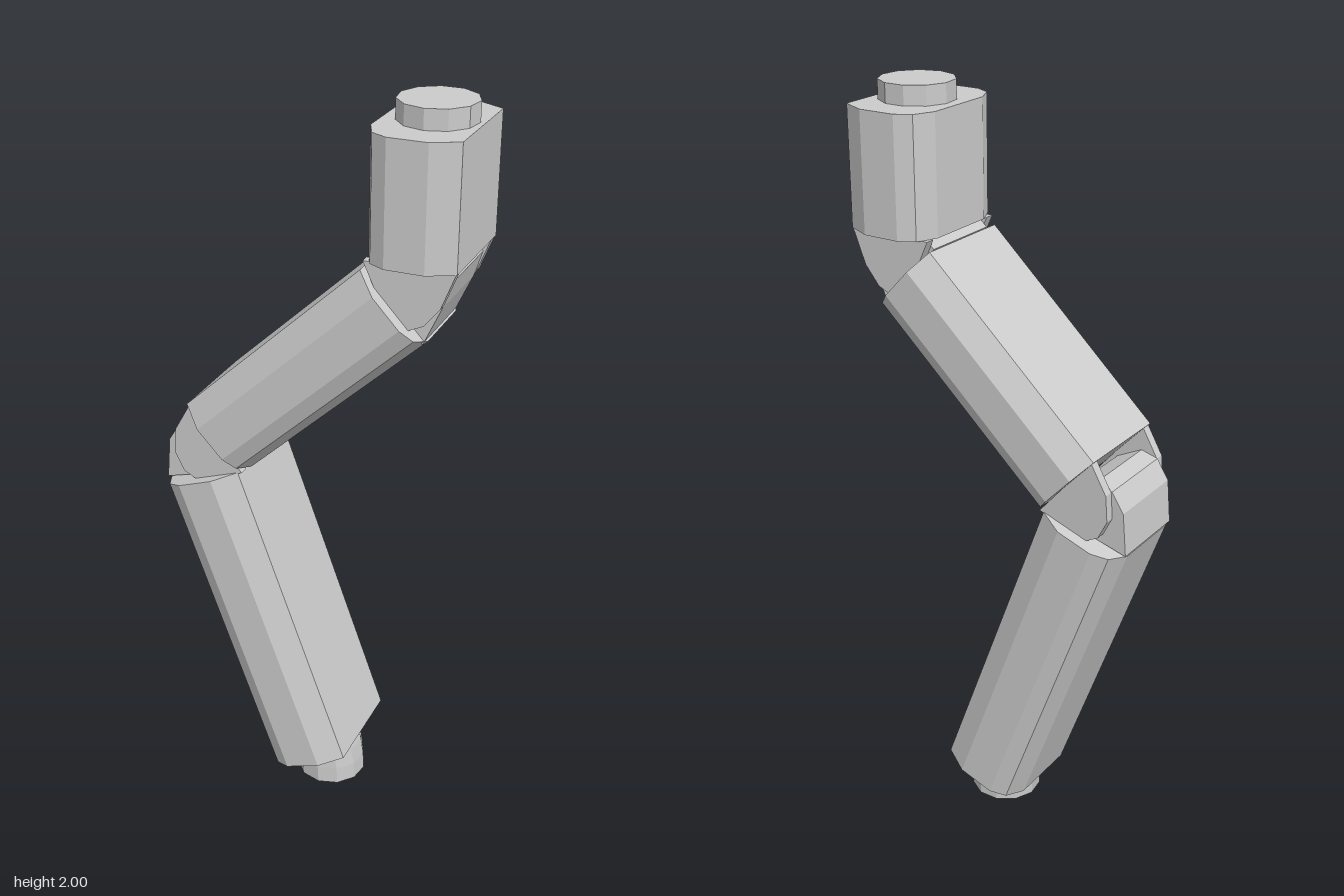
import * as THREE from 'three';

const material = new THREE.MeshStandardMaterial({ color: 0xcccccc, flatShading: true });

function shapeOf(points) {
  return new THREE.Shape(points.map(([x, y]) => new THREE.Vector2(x, y)));
}

function part(name, geometry) {
  const mesh = new THREE.Mesh(geometry, material);
  mesh.name = name;
  return mesh;
}

// Chamfered limb block along +y from its base; wideSide (+1 / -1) is the x side with the broad flat face
function limb(name, length, wideSide, x, y, tilt) {
  const half = [[-0.117, 0.1], [-0.092, 0.155], [-0.05, 0.177], [0.05, 0.177], [0.117, 0.142]];
  const outline = [...half, ...half.map(([u, z]) => [u, -z]).reverse()];
  const geometry = new THREE.ExtrudeGeometry(
    shapeOf(outline.map(([u, z]) => [u * wideSide, z])),
    { depth: length, bevelEnabled: false });
  geometry.rotateX(-Math.PI / 2);
  const mesh = part(name, geometry);
  mesh.position.set(x, y, 0);
  mesh.rotation.z = tilt;
  return mesh;
}

// Flat plate with a front outline, spanning z0 to z1
function plate(name, points, z0, z1) {
  const geometry = new THREE.ExtrudeGeometry(shapeOf(points), { depth: z1 - z0, bevelEnabled: false });
  geometry.translate(0, 0, z0);
  return part(name, geometry);
}

// Hinge: a central tongue held between two cheek plates
function hinge(name, tongue, cheek) {
  const group = new THREE.Group();
  group.name = name;
  group.add(plate(name + 'Tongue', tongue, -0.115, 0.115));
  group.add(plate(name + 'FrontCheek', cheek, 0.116, 0.142));
  group.add(plate(name + 'BackCheek', cheek, -0.142, -0.116));
  return group;
}

export function createModel() {
  const model = new THREE.Group();
  model.name = 'jointedArm';

  // Three limb blocks
  model.add(limb('lowerLimb', 0.9, 1, 0.018, 0.112, 0.346));
  model.add(limb('middleLimb', 0.652, -1, -0.238, 1.085, -0.819));
  model.add(limb('upperLimb', 0.31, 1, 0.28, 1.64, 0));

  // Elbow hinge between lower and middle limbs
  model.add(hinge('elbow',
    [[-0.4, 0.925], [-0.39, 1.04], [-0.357, 1.092], [-0.31, 1.105], [-0.24, 1.07], [-0.177, 0.99]],
    [[-0.31, 1.17], [-0.355, 1.09], [-0.36, 1.02], [-0.335, 0.97], [-0.3, 0.952], [-0.165, 1.0]]));

  // Wrist hinge between middle and upper limbs
  model.add(hinge('wrist',
    [[0.31, 1.44], [0.355, 1.54], [0.375, 1.605], [0.36, 1.638], [0.19, 1.638], [0.165, 1.615]],
    [[0.165, 1.64], [0.2, 1.565], [0.245, 1.5], [0.28, 1.482], [0.32, 1.5], [0.36, 1.55], [0.395, 1.64]]));

  // Top peg
  const topPeg = part('topPeg', new THREE.CylinderGeometry(0.098, 0.098, 0.06, 11));
  topPeg.position.set(0.288, 1.97, 0);
  model.add(topPeg);

  // Bottom peg, bent towards the lower limb
  const bent = new THREE.CylinderGeometry(0.097, 0.097, 0.15, 11, 3);
  bent.translate(0, 0.075, 0);
  const p = bent.attributes.position;
  for (let i = 0; i < p.count; i++) p.setX(i, p.getX(i) + 0.032 - p.getY(i) ** 2);
  model.add(part('bottomPeg', bent));

  return model;
}
